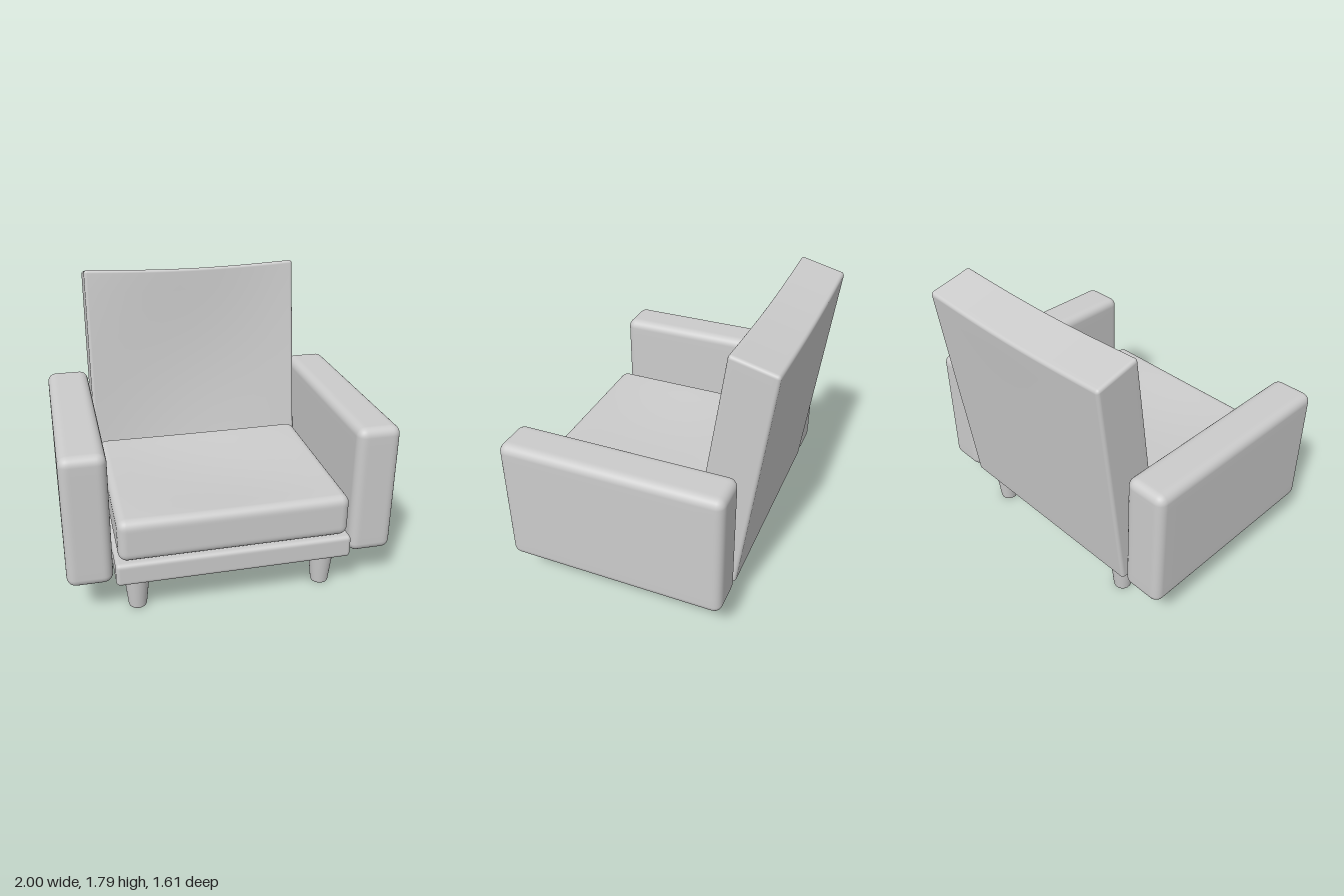
import * as THREE from 'three';
import { mergeVertices } from 'three/addons/utils/BufferGeometryUtils.js';

const BAND = 4, MID = 12, SEG = BAND * 2 + MID;
const material = new THREE.MeshStandardMaterial({ color: 0xcccccc });

// Spread grid lines so the rounded edges get enough of them
function remap(t, half, r) {
  const i = Math.round((t + 0.5) * SEG);
  if (i <= BAND) return -half + (r * i) / BAND;
  if (i >= SEG - BAND) return half - (r * (SEG - i)) / BAND;
  return -half + r + ((2 * half - 2 * r) * (i - BAND)) / MID;
}

// Rounded, finely divided box given by its limits; bend(v) may reshape each vertex
function softBox(name, [x0, x1], [y0, y1], [z0, z1], r, bend) {
  let geo = new THREE.BoxGeometry(1, 1, 1, SEG, SEG, SEG);
  const half = new THREE.Vector3(x1 - x0, y1 - y0, z1 - z0).multiplyScalar(0.5);
  const mid = new THREE.Vector3(x0 + x1, y0 + y1, z0 + z1).multiplyScalar(0.5);
  const core = half.clone().subScalar(r), low = core.clone().negate();
  const pos = geo.attributes.position, v = new THREE.Vector3();
  for (let i = 0; i < pos.count; i++) {
    v.fromBufferAttribute(pos, i);
    v.set(remap(v.x, half.x, r), remap(v.y, half.y, r), remap(v.z, half.z, r));
    const inner = v.clone().clamp(low, core);
    v.sub(inner).setLength(r).add(inner).add(mid);
    if (bend) bend(v);
    pos.setXYZ(i, v.x, v.y, v.z);
  }
  geo.deleteAttribute('uv');
  geo.deleteAttribute('normal');
  geo = mergeVertices(geo, 1e-5);
  geo.computeVertexNormals();
  const mesh = new THREE.Mesh(geo, material);
  mesh.name = name;
  return mesh;
}

// Leaning backrest with a hollow front and a slightly sagging top
function leanBack(p) {
  const v = p.y, u = p.z / 0.32, hw = 0.72;
  const height = v / 1.52;
  const across = Math.cos((Math.PI * p.x) / (2 * hw));
  const hollow = 0.05 * u * across * Math.sin(Math.PI * height);
  p.y = 0.25 + height * (1.48 + 0.07 * u) - 0.023 * across * height ** 3;
  p.z = THREE.MathUtils.lerp(-0.62 - 0.185 * height, -0.3 - 0.22 * height, u) - hollow;
  p.x *= 1 - 0.01 * height;
}

// Shallow dish in the top of the seat cushion
function dishSeat(p) {
  const up = Math.max(0, (p.y - 0.395) / 0.27);
  const a = Math.max(0, Math.cos((Math.PI * p.x) / 1.4));
  const b = Math.max(0, Math.cos((Math.PI * (p.z - 0.23)) / 1.14));
  p.y -= 0.035 * up * a * b;
}

export function createModel() {
  const chair = new THREE.Group();
  chair.name = 'armchair';

  chair.add(
    softBox('seatBase', [-0.72, 0.72], [0.245, 0.39], [-0.6, 0.805], 0.025),
    softBox('seatCushion', [-0.7, 0.7], [0.395, 0.665], [-0.34, 0.8], 0.055, dishSeat),
    softBox('backrest', [-0.72, 0.72], [0, 1.52], [0, 0.32], 0.022, leanBack)
  );

  // Arms
  for (const [side, s] of [['left', 1], ['right', -1]]) {
    const xs = [0.73 * s, 1.0 * s].sort((a, b) => a - b);
    chair.add(softBox(side + 'Arm', xs, [0.245, 1.08], [-0.625, 0.77], 0.055));
  }

  // Tapered legs with softened rims
  const profile = [[0, 0], [0.046, 0], [0.053, 0.003], [0.056, 0.012], [0.079, 0.228],
    [0.079, 0.236], [0.074, 0.242], [0, 0.243]].map(([x, y]) => new THREE.Vector2(x, y));
  const legGeo = new THREE.LatheGeometry(profile, 32);
  for (const x of [-0.585, 0.585]) {
    for (const z of [0.65, -0.485]) {
      const leg = new THREE.Mesh(legGeo, material);
      leg.name = (z > 0 ? 'front' : 'back') + (x > 0 ? 'Left' : 'Right') + 'Leg';
      leg.position.set(x, 0, z);
      chair.add(leg);
    }
  }
  return chair;
}
